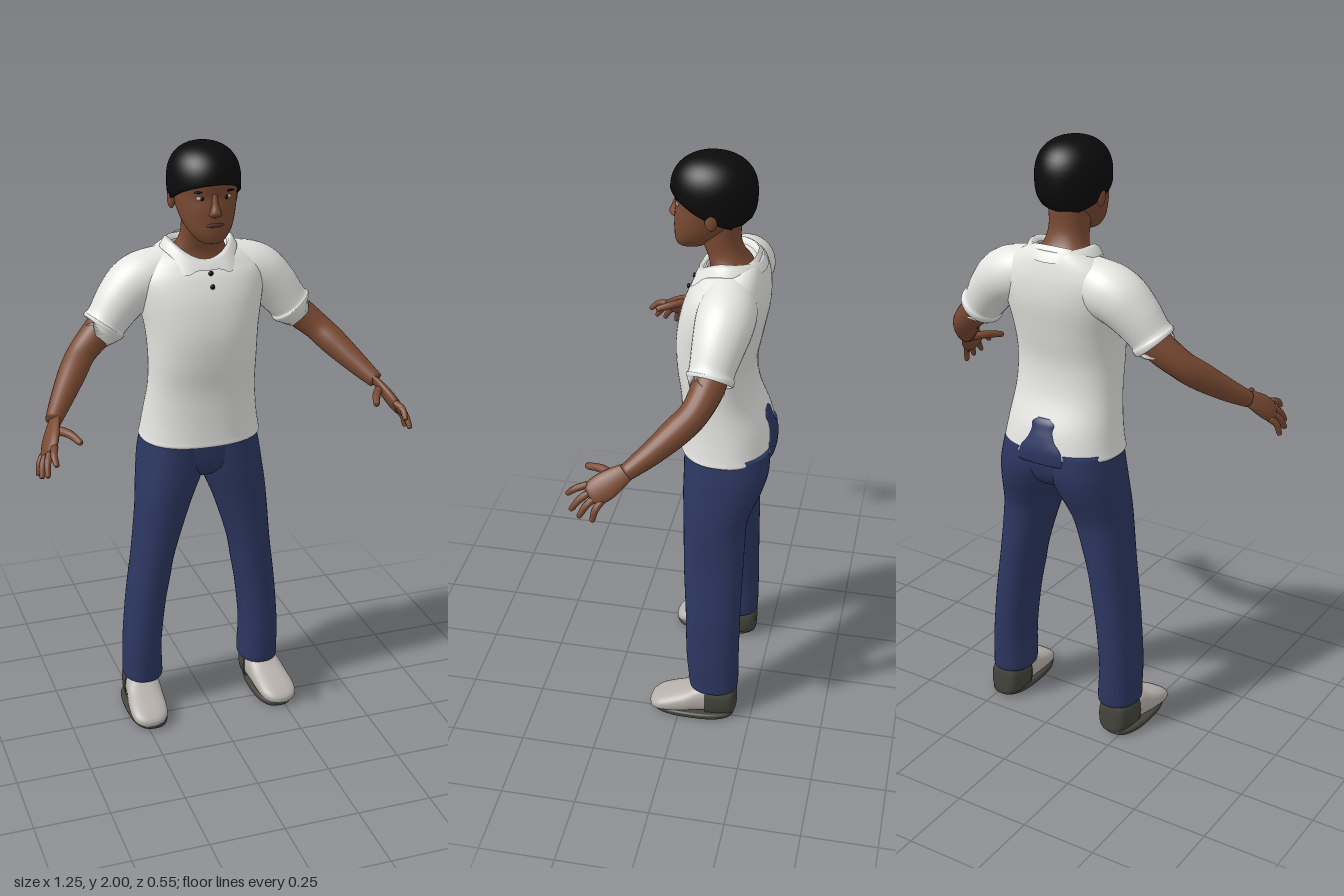
import * as THREE from 'three';

const mat = (name, color, side = THREE.FrontSide) => {
  const m = new THREE.MeshStandardMaterial({ color, side });
  m.name = name;
  return m;
};

// Catmull-Rom interpolation of rows of numbers
function smooth(rows, steps) {
  const out = [], last = rows.length - 1;
  for (let i = 0; i < last; i++) {
    const [a, b, c, d] = [i - 1, i, i + 1, i + 2].map(k => rows[Math.min(last, Math.max(0, k))]);
    for (let s = 0; s < steps; s++) {
      const t = s / steps;
      out.push(b.map((_, k) => b[k] + 0.5 * t * (c[k] - a[k] + t * (2 * a[k] - 5 * b[k] + 4 * c[k] - d[k]
        + t * (3 * (b[k] - c[k]) + d[k] - a[k])))));
    }
  }
  out.push(rows[last]);
  return out;
}

// Skin over closed rings of points
function skin(rings, capStart = true, capEnd = true) {
  const n = rings[0].length, pos = rings.flat(2), idx = [];
  for (let i = 0; i < rings.length - 1; i++) for (let j = 0; j < n; j++) {
    const k = (j + 1) % n, a = i * n + j, b = i * n + k;
    idx.push(a, b, a + n, b, b + n, a + n);
  }
  const cap = (r, flip) => {
    const c = pos.length / 3, base = r * n;
    pos.push(...[0, 1, 2].map(k => rings[r].reduce((s, p) => s + p[k], 0) / n));
    for (let j = 0; j < n; j++) {
      const a = base + j, b = base + (j + 1) % n;
      idx.push(c, ...(flip ? [b, a] : [a, b]));
    }
  };
  if (capStart) cap(0, true);
  if (capEnd) cap(rings.length - 1, false);
  const g = new THREE.BufferGeometry();
  g.setAttribute('position', new THREE.Float32BufferAttribute(pos, 3));
  g.setIndex(idx);
  g.computeVertexNormals();
  return g;
}

const around = (n, f) => Array.from({ length: n }, (_, j) => f(j / n * Math.PI * 2));
const bend = (v, e) => Math.sign(v) * Math.abs(v) ** (2 / e);

// Upright body: rows of [y, x0, x1, zFront, zBack, frontTilt]
function body(rows, { e = 2.2, n = 40, steps = 5, open = false } = {}) {
  return skin(smooth(rows, steps).map(([y, x0, x1, zf, zb, tilt = 0]) => around(n, a => [
    (x0 + x1) / 2 + (x1 - x0) / 2 * bend(Math.sin(a), e),
    y + tilt * Math.cos(a),
    (zf + zb) / 2 + (zf - zb) / 2 * bend(Math.cos(a), e)])), true, !open);
}
const sym = rows => rows.map(([y, w, ...r]) => [y, -w, w, ...r]);

// Limb: rows of [x, y, z, radius], wide along `ref`, flattened across it
function limb(rows, { ref = [0, 0, 1], flat = 1, n = 20, steps = 6 } = {}) {
  const s = smooth(rows, steps), V = r => new THREE.Vector3(...r.slice(0, 3));
  return skin(s.map((r, i) => {
    const t = V(s[Math.min(i + 1, s.length - 1)]).sub(V(s[Math.max(i - 1, 0)])).normalize();
    const u = new THREE.Vector3(...ref).addScaledVector(t, -t.dot(new THREE.Vector3(...ref))).normalize();
    const v = t.clone().cross(u);
    return around(n, a => V(r).addScaledVector(u, r[3] * Math.cos(a))
      .addScaledVector(v, r[3] * flat * Math.sin(a)).toArray());
  }));
}

const ball = (x, y, z, rx, ry, rz) => new THREE.SphereGeometry(1, 20, 14).scale(rx, ry, rz).translate(x, y, z);

function mirrored(geo) {
  const g = geo.clone().scale(-1, 1, 1), ix = g.index.array;
  for (let i = 0; i < ix.length; i += 3) [ix[i], ix[i + 1]] = [ix[i + 1], ix[i]];
  g.computeVertexNormals();
  return g;
}

export function createModel() {
  const model = new THREE.Group();
  model.name = 'standingPerson';
  const skinTone = mat('skin', 0x7a4a33), white = mat('shirtWhite', 0xe4e4e1, THREE.DoubleSide);
  const navy = mat('trouserNavy', 0x2c3761), black = mat('hairBlack', 0x0b0b0b, THREE.DoubleSide);
  const shoeGrey = mat('shoeGrey', 0xb5b0ab), soleGrey = mat('soleGrey', 0x45453d);
  const lip = mat('lip', 0x59302a), eyeWhite = mat('eyeWhite', 0xb9b2aa);
  const add = (name, geo, m) => {
    const o = new THREE.Mesh(geo, m);
    o.name = name;
    model.add(o);
  };
  const pair = (name, geo, m) => {
    add(name + 'Left', geo, m);
    add(name + 'Right', mirrored(geo), m);
  };

  // Shirt body with open neckline and a thicker hem
  add('shirt', body(sym([
    [1.005, 0.192, 0.022, -0.266, 0], [1.013, 0.204, 0.034, -0.274, 0], [1.035, 0.2, 0.033, -0.271, 0],
    [1.1, 0.19, 0.031, -0.255, 0], [1.2, 0.18, 0.032, -0.216, 0], [1.3, 0.18, 0.045, -0.205, 0],
    [1.4, 0.187, 0.048, -0.222, 0], [1.5, 0.207, 0.03, -0.24, 0], [1.57, 0.215, 0.002, -0.24, 0],
    [1.615, 0.185, -0.02, -0.23, -0.01], [1.645, 0.14, -0.032, -0.217, -0.02], [1.66, 0.1, -0.04, -0.2, -0.03],
  ]), { e: 2.3, n: 56, open: true }), white);

  // Sleeves with a rolled cuff
  pair('sleeve', limb([
    [0.08, 1.595, -0.135, 0.07], [0.15, 1.565, -0.137, 0.089], [0.21, 1.54, -0.135, 0.09],
    [0.26, 1.495, -0.127, 0.081], [0.3, 1.445, -0.118, 0.071], [0.312, 1.43, -0.116, 0.07],
    [0.318, 1.422, -0.115, 0.074], [0.326, 1.412, -0.113, 0.07], [0.327, 1.411, -0.113, 0.055],
  ], { n: 32 }), white);

  // Collar: folded band with two front points
  const collarRing = (rx, rz, drop, flap) => around(72, a => {
    const c = Math.cos(a), b = flap * Math.exp(-(((Math.abs(a > Math.PI ? a - 2 * Math.PI : a) - 0.6) / 0.22) ** 2));
    const y = 1.688 - 0.055 * Math.max(c, 0) ** 2 - 0.012 * Math.min(c, 0) ** 2;
    return [(rx + 0.01 * b) * Math.sin(a), y - drop - 0.028 * b, -0.12 + (rz + 0.022 * b) * c];
  });
  add('collar', skin([collarRing(0.126, 0.112, 0.032, 1), collarRing(0.112, 0.1, 0.006, 0.2),
    collarRing(0.1, 0.089, 0, 0), collarRing(0.092, 0.08, 0.02, 0)], false, false), white);
  [[1.592, -0.004], [1.553, 0.014]].forEach(([y, z], i) =>
    add('button' + (i + 1), ball(0.005, y, z, 0.008, 0.008, 0.005), black));

  // Trousers
  pair('trouserLeg', body([
    [0.108, 0.155, 0.275, -0.04, -0.19], [0.115, 0.147, 0.283, -0.032, -0.198], [0.15, 0.147, 0.282, -0.028, -0.2],
    [0.25, 0.15, 0.28, -0.02, -0.2], [0.4, 0.135, 0.268, -0.015, -0.2], [0.5, 0.118, 0.256, -0.009, -0.201],
    [0.6, 0.1, 0.243, -0.003, -0.203], [0.75, 0.053, 0.23, 0.003, -0.206], [0.82, 0.026, 0.224, 0.007, -0.225],
    [0.88, 0, 0.217, 0.01, -0.25], [0.95, -0.02, 0.208, 0.01, -0.268], [1.03, -0.02, 0.192, 0.01, -0.264],
  ]), navy);
  add('trouserSeat', body(sym([
    [0.865, 0.03, -0.07, -0.14], [0.885, 0.08, -0.03, -0.2], [0.92, 0.15, 0, -0.245],
    [0.97, 0.19, 0.008, -0.262], [1.03, 0.192, 0.01, -0.264]])), navy);
  // Seat of the trousers showing over the shirt tail
  add('trouserBackPatch', body(sym([
    [0.99, 0.088, -0.24, -0.277], [1.03, 0.08, -0.24, -0.279], [1.07, 0.055, -0.235, -0.27],
    [1.1, 0.045, -0.23, -0.26], [1.12, 0.045, -0.225, -0.253], [1.135, 0.03, -0.22, -0.243]])), navy);

  // Shoes: lengthwise rows of [z, x0, x1, -bottom, -top]
  const shoe = (rows, e) => body(rows, { e, n: 32 }).rotateX(Math.PI / 2);
  pair('shoeUpper', shoe([
    [-0.1, 0.163, 0.282, -0.012, -0.128], [-0.06, 0.165, 0.288, -0.012, -0.118], [-0.02, 0.167, 0.295, -0.012, -0.096],
    [0.03, 0.17, 0.3, -0.012, -0.078], [0.07, 0.178, 0.296, -0.012, -0.062], [0.095, 0.198, 0.278, -0.014, -0.046],
    [0.104, 0.222, 0.252, -0.02, -0.034]], 2.6), shoeGrey);
  pair('shoeHeel', shoe([
    [-0.195, 0.195, 0.245, -0.02, -0.1], [-0.185, 0.174, 0.268, -0.006, -0.122], [-0.15, 0.162, 0.28, -0.002, -0.128],
    [-0.095, 0.16, 0.285, -0.002, -0.13]], 2.8), soleGrey);
  pair('shoeSole', body([
    [0, 0.172, 0.288, 0.085, -0.17], [0.004, 0.165, 0.295, 0.097, -0.188],
    [0.018, 0.164, 0.298, 0.103, -0.192], [0.024, 0.17, 0.292, 0.098, -0.185]], { e: 2.6 }), soleGrey);

  // Arms and hands
  pair('arm', limb([
    [0.27, 1.48, -0.125, 0.05], [0.33, 1.41, -0.115, 0.052], [0.4, 1.348, -0.085, 0.046],
    [0.445, 1.302, -0.037, 0.045], [0.5, 1.245, 0.035, 0.036], [0.543, 1.202, 0.097, 0.026]]), skinTone);
  const spread = [-0.35, 0.57, 0.745];
  pair('palm', limb([
    [0.535, 1.21, 0.085, 0.024], [0.55, 1.19, 0.117, 0.035], [0.567, 1.163, 0.155, 0.043],
    [0.58, 1.14, 0.188, 0.04], [0.584, 1.133, 0.198, 0.03]], { ref: spread, flat: 0.42 }), skinTone);
  const finger = (name, a, b, c, r) => pair(name, limb(
    [[...a, r], [...b, r * 0.95], [...c, r * 0.72], c.map((v, k) => v + (c[k] - b[k]) * 0.12).concat(r * 0.3)],
    { n: 12, steps: 4 }), skinTone);
  finger('thumb', [0.548, 1.185, 0.125], [0.513, 1.186, 0.175], [0.491, 1.175, 0.225], 0.014);
  [['indexFinger', 0.033, [0.575, 1.128, 0.268]], ['middleFinger', 0.011, [0.6, 1.09, 0.252]],
    ['ringFinger', -0.011, [0.613, 1.077, 0.225]], ['littleFinger', -0.031, [0.615, 1.068, 0.185]]]
    .forEach(([name, s, tip]) => {
      const base = [0.578, 1.142, 0.183].map((v, k) => v + s * spread[k]);
      const mid = base.map((v, k) => (v + tip[k]) / 2 + [0.006, 0.006, 0.004][k]);
      finger(name, base, mid, tip, 0.0115);
    });

  // Neck and head
  add('neck', body(sym([
    [1.59, 0.11, -0.045, -0.2], [1.645, 0.092, -0.055, -0.188], [1.685, 0.07, -0.045, -0.162],
    [1.73, 0.064, -0.028, -0.148], [1.8, 0.066, -0.02, -0.15]])), skinTone);
  add('head', body(sym([
    [1.7, 0.022, 0.038, -0.01], [1.708, 0.042, 0.05, -0.04], [1.735, 0.066, 0.056, -0.075],
    [1.77, 0.083, 0.056, -0.115], [1.81, 0.094, 0.055, -0.15], [1.85, 0.101, 0.05, -0.17],
    [1.9, 0.102, 0.056, -0.175], [1.95, 0.085, 0.035, -0.155], [1.98, 0.045, -0.01, -0.11]])), skinTone);
  add('nose', body(sym([
    [1.787, 0.008, 0.056, 0.035], [1.795, 0.021, 0.067, 0.03], [1.806, 0.018, 0.074, 0.03],
    [1.83, 0.011, 0.064, 0.03], [1.86, 0.009, 0.054, 0.03]]), { n: 20 }), skinTone);
  add('lips', ball(0, 1.764, 0.05, 0.03, 0.009, 0.009), lip);
  pair('ear', ball(0.103, 1.828, -0.073, 0.012, 0.033, 0.02), skinTone);
  pair('eye', ball(0.04, 1.848, 0.038, 0.017, 0.008, 0.007), eyeWhite);
  pair('iris', ball(0.039, 1.848, 0.042, 0.007, 0.007, 0.005), black);
  pair('eyebrow', ball(0.042, 1.868, 0.04, 0.023, 0.004, 0.006), black);

  // Hair: cap whose edge drops from the forehead to the nape
  const hairRing = (t, shrink) => around(48, a => {
    const c = Math.cos(a), y = THREE.MathUtils.lerp(1.828 + 0.065 * c, 2, Math.sin(t * Math.PI / 2));
    const h = Math.min(1, Math.abs(y - 1.885) / 0.115), e = y > 1.885 ? 2.3 : 3;
    const k = shrink * (1 - h ** e) ** (1 / e);
    return [0.115 * k * Math.sin(a), y, -0.064 + 0.133 * k * c];
  });
  add('hair', skin([hairRing(0, 0.85), ...Array.from({ length: 17 }, (_, i) => hairRing(i / 16, 1))], false, false), black);

  return model;
}
